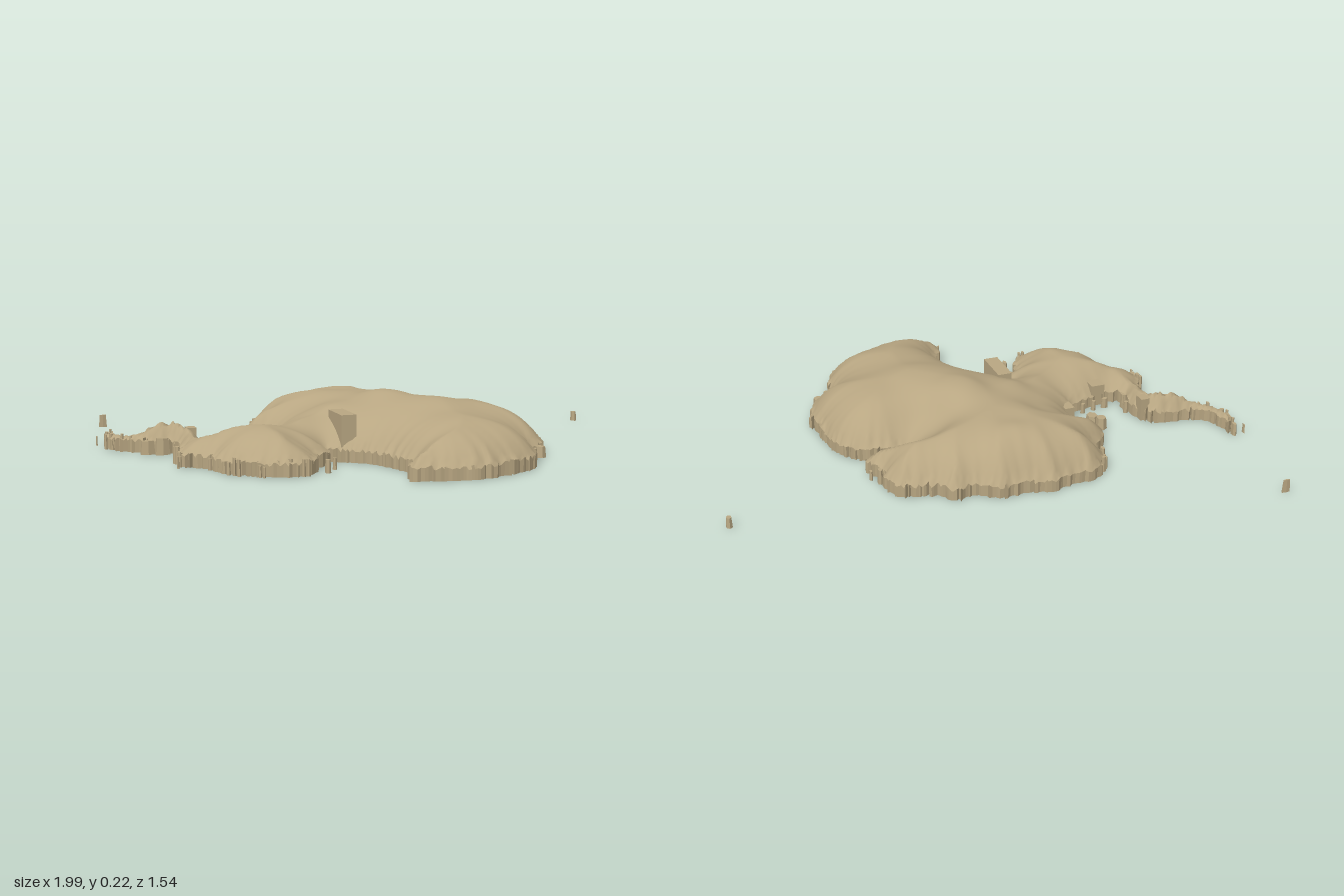
import * as THREE from 'three';

const rock = new THREE.MeshStandardMaterial({ color: 0xb8a682 });
rock.name = 'sandstone';

// Coastline in hundredths of a unit, as x, z pairs
const COAST = [
  -95, -32, -93, -24, -89, -18, -80, -16, -72, -14, -68, -9, -66, -1, -68, 5, -61, 8, -55, 7,
  -45, 4, -41, -1, -39, -7, -41, -14, -46, -17, -45, -24, -40, -29, -38, -32, -39, -37, -33, -45,
  -24, -46, -14, -48, -7, -46, 3, -46, 14, -41, 20, -42, 25, -37, 38, -32, 41, -24, 40, -20,
  44, -11, 39, -10, 26, -9, 26, -7, 38, -5, 46, 0, 51, 8, 52, 18, 53, 31, 49, 40,
  41, 47, 39, 56, 34, 65, 24, 71, 14, 75, 3, 76, -5, 74, -13, 72, -12, 67, -8, 61,
  -10, 51, -12, 44, -16, 37, -24, 31, -29, 28, -29, 34, -34, 38, -37, 45, -40, 50, -48, 52,
  -57, 48, -64, 42, -69, 35, -70, 29, -77, 23, -79, 16, -76, 8, -75, 0, -77, -7, -85, -10,
  -92, -15, -96, -21, -97, -28,
];

// Ice cap level at places: x, z, height
const LEVELS = [
  [0.03, 0.05, 0.228], [0.12, 0.2, 0.212], [0.32, 0.15, 0.195], [0.1, 0.45, 0.182],
  [0.1, 0.65, 0.172], [0.3, 0.45, 0.175], [-0.05, -0.36, 0.228], [-0.25, -0.35, 0.2],
  [-0.1, -0.18, 0.195], [0.12, -0.25, 0.195], [0.3, -0.22, 0.185], [0.2, -0.08, 0.14],
  [-0.18, 0.05, 0.185], [-0.3, 0.12, 0.155], [-0.28, -0.1, 0.16], [-0.42, 0.18, 0.14],
  [-0.58, 0.22, 0.16], [-0.5, 0.37, 0.158], [-0.42, 0.42, 0.13], [-0.7, 0.15, 0.12],
  [-0.78, -0.11, 0.27], [-0.71, -0.03, 0.17], [-0.9, -0.18, 0.14],
];

function seeded(seed) {
  return () => {
    seed = (seed * 16807) % 2147483647;
    return seed / 2147483647;
  };
}

function capLevel(x, z) {
  let sum = 0, weight = 0;
  for (const [a, b, h] of LEVELS) {
    const w = 1 / ((x - a) ** 2 + (z - b) ** 2 + 0.003) ** 1.6;
    sum += w * h;
    weight += w;
  }
  return sum / weight;
}

// Ragged closed shoreline
function makeCoast(rnd) {
  const pts = [];
  for (let i = 0; i < COAST.length; i += 2) pts.push(new THREE.Vector3(COAST[i] / 100, 0, COAST[i + 1] / 100));
  return new THREE.CatmullRomCurve3(pts, true, 'centripetal').getSpacedPoints(640).slice(0, -1)
    .map(p => [p.x + (rnd() - 0.5) * 0.016, p.z + (rnd() - 0.5) * 0.016]);
}

function nearest(coast, x, z) {
  let best = { d: Infinity };
  coast.forEach(([ax, az], i) => {
    const [bx, bz] = coast[(i + 1) % coast.length];
    const dx = bx - ax, dz = bz - az;
    const t = THREE.MathUtils.clamp(((x - ax) * dx + (z - az) * dz) / (dx * dx + dz * dz), 0, 1);
    const px = ax + t * dx, pz = az + t * dz, d = Math.hypot(x - px, z - pz);
    if (d < best.d) best = { d, x: px, z: pz };
  });
  return best;
}

function inside(coast, x, z) {
  let hit = false;
  for (let i = 0, j = coast.length - 1; i < coast.length; j = i++) {
    const [ax, az] = coast[i], [bx, bz] = coast[j];
    if ((az > z) !== (bz > z) && x < ((bx - ax) * (z - az)) / (bz - az) + ax) hit = !hit;
  }
  return hit;
}

function surface(positions, index) {
  const g = new THREE.BufferGeometry();
  g.setAttribute('position', new THREE.Float32BufferAttribute(positions, 3));
  if (index) g.setIndex(index);
  g.computeVertexNormals();
  return g;
}

// Smooth domed top, straight cliffs and flat underside
function makeLand(rnd) {
  const coast = makeCoast(rnd);
  const step = 0.0125, x0 = -1, z0 = -0.52, nx = 126, nz = 106;
  const top = [], base = [], tris = [];
  for (let j = 0; j < nz; j++) for (let i = 0; i < nx; i++) {
    let x = x0 + i * step, z = z0 + j * step;
    const near = nearest(coast, x, z);
    let y = 0.04 + (capLevel(x, z) - 0.04) * (1 - Math.exp(-near.d / 0.085));
    if (near.d < step * 0.55) {
      x = near.x;
      z = near.z;
      y = 0.035 + rnd() * 0.016;
    }
    top.push(x, y, z);
    base.push(x, 0, z);
  }
  for (let j = 0; j < nz - 1; j++) for (let i = 0; i < nx - 1; i++) {
    const a = j * nx + i, b = a + nx;
    for (const t of [[a, b, a + 1], [a + 1, b, b + 1]]) {
      const cx = t.reduce((s, k) => s + top[k * 3], 0) / 3;
      const cz = t.reduce((s, k) => s + top[k * 3 + 2], 0) / 3;
      if (inside(coast, cx, cz)) tris.push(t);
    }
  }
  // Cliffs hang from every edge used by one triangle only
  const edges = new Set();
  const each = fn => tris.forEach(t => t.forEach((p, k) => fn(p, t[(k + 1) % 3])));
  each((p, q) => edges.add(p + '_' + q));
  const wall = [];
  const at = (list, k) => list.slice(k * 3, k * 3 + 3);
  each((p, q) => {
    if (edges.has(q + '_' + p)) return;
    const P = at(top, p), Q = at(top, q), P0 = at(base, p), Q0 = at(base, q);
    wall.push(...Q, ...P, ...P0, ...Q, ...P0, ...Q0);
  });
  return {
    iceCap: surface(top, tris.flat()),
    cliffs: surface(wall),
    underside: surface(base, tris.map(([a, b, c]) => [a, c, b]).flat()),
  };
}

export function createModel() {
  const group = new THREE.Group();
  const rnd = seeded(4711);
  const add = (name, geometry, x = 0, y = 0, z = 0) => {
    const mesh = new THREE.Mesh(geometry, rock);
    mesh.name = name;
    mesh.position.set(x, y, z);
    group.add(mesh);
    return mesh;
  };

  for (const [name, geometry] of Object.entries(makeLand(rnd))) add(name, geometry);

  // Rectangular blocks set into the land: x, z, width, depth, height
  for (const [x, z, w, d, h] of [
    [-0.207, 0.222, 0.055, 0.155, 0.165], [-0.573, 0.107, 0.055, 0.07, 0.085],
    [-0.69, -0.085, 0.035, 0.045, 0.09], [-0.41, 0.005, 0.04, 0.055, 0.06],
  ]) add('block', new THREE.BoxGeometry(w, h, d), x, h / 2, z);

  // Islets: x, z, width, depth, height
  const islet = (x, z, w, d, h) => {
    const g = new THREE.CylinderGeometry(0.4, 0.5, 1, 6).toNonIndexed();
    g.scale(w, h, d);
    g.computeVertexNormals();
    add('islet', g, x, h / 2, z);
  };
  for (const v of [
    [-0.91, -0.772, 0.036, 0.008, 0.05], [0.98, -0.31, 0.024, 0.03, 0.038], [-0.997, -0.33, 0.006, 0.02, 0.035],
    [-0.505, -0.105, 0.045, 0.05, 0.045], [-0.48, -0.075, 0.05, 0.06, 0.045], [-0.85, -0.075, 0.06, 0.035, 0.05],
    [-0.8, -0.055, 0.06, 0.04, 0.06], [0.465, 0.44, 0.045, 0.05, 0.04], [0.42, 0.48, 0.03, 0.04, 0.04],
    [0.535, 0.29, 0.016, 0.02, 0.04], [-0.34, 0.48, 0.02, 0.035, 0.045], [-0.35, -0.43, 0.02, 0.02, 0.04],
    [-0.59, 0.045, 0.03, 0.02, 0.04], [-0.54, 0.04, 0.02, 0.02, 0.04], [-0.49, 0.03, 0.02, 0.015, 0.04],
    [-0.3, 0.43, 0.015, 0.02, 0.04], [0.42, -0.12, 0.02, 0.02, 0.04],
  ]) islet(...v);

  // Loose strings of skerries: start x, z, end x, z, count
  for (const [ax, az, bx, bz, n] of [
    [-0.955, -0.33, -0.97, -0.2, 9], [-0.96, -0.21, -0.87, -0.13, 7], [-0.8, 0.12, -0.79, 0.24, 7],
    [-0.7, 0.3, -0.64, 0.45, 8], [-0.6, 0.48, -0.4, 0.52, 9], [-0.39, -0.33, -0.37, -0.42, 5],
    [0.36, -0.33, 0.43, -0.16, 6], [-0.66, -0.06, -0.65, 0.04, 4],
  ]) {
    for (let i = 0; i < n; i++) {
      const t = (i + rnd()) / n;
      islet(ax + (bx - ax) * t + (rnd() - 0.5) * 0.025, az + (bz - az) * t + (rnd() - 0.5) * 0.025,
        0.008 + rnd() * 0.014, 0.012 + rnd() * 0.022, 0.035 + rnd() * 0.03);
    }
  }
  return group;
}
